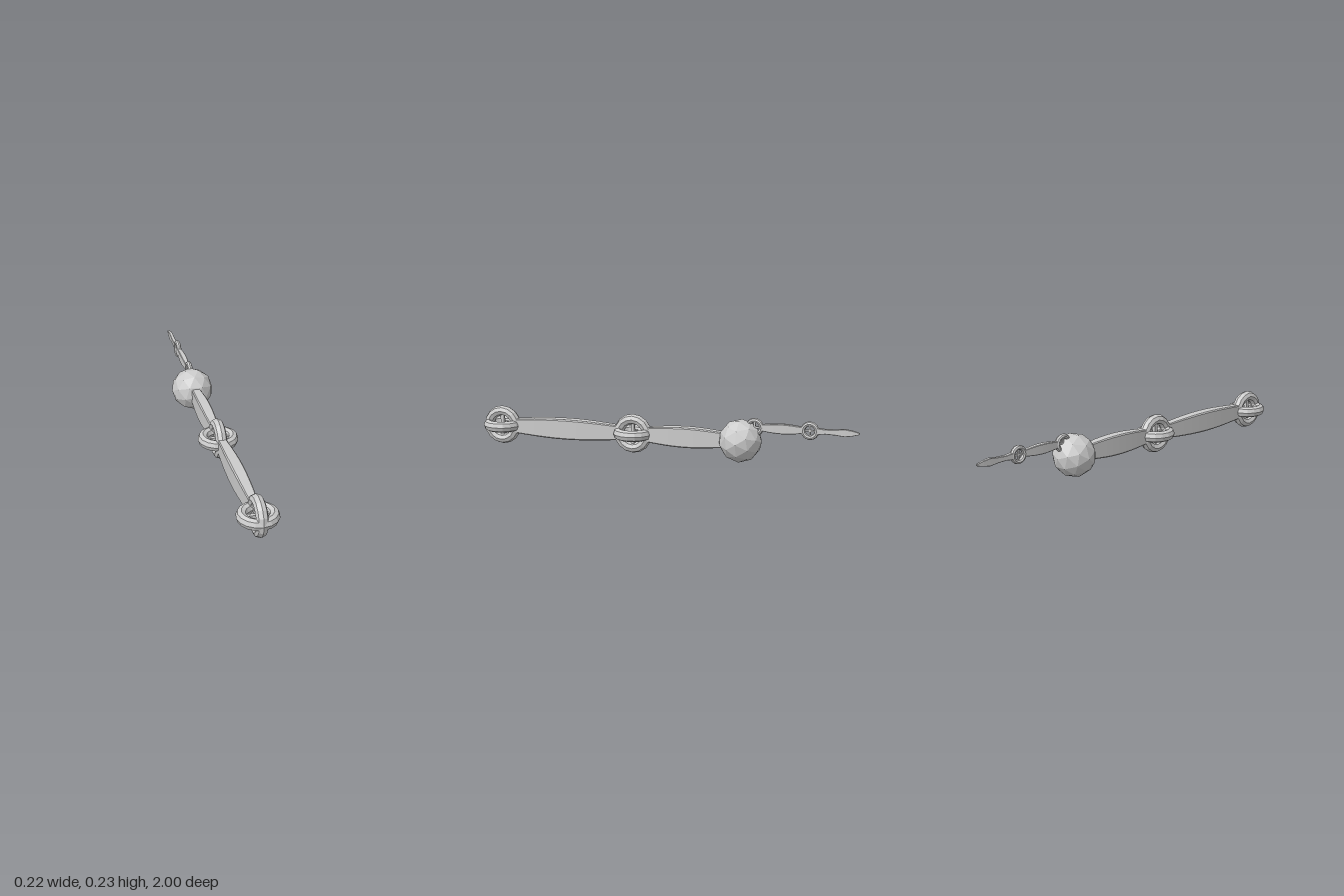
import * as THREE from 'three';

export function createModel() {
  const model = new THREE.Group();
  const metal = new THREE.MeshStandardMaterial({ color: 0xcccccc, flatShading: true });
  metal.name = 'lightGreyMetal';

  const add = (parent, geometry, name, x = 0, y = 0, z = 0) => {
    const mesh = new THREE.Mesh(geometry, metal);
    mesh.name = name;
    mesh.position.set(x, y, z);
    parent.add(mesh);
    return mesh;
  };

  // Spoked ring lying in its local xy plane; depth is half its thickness
  function ring(name, outer, thickness, depth, spoke) {
    const group = new THREE.Group();
    group.name = name;
    const tube = thickness / 2;
    const torus = new THREE.TorusGeometry(outer - tube, tube, 8, 16);
    torus.scale(1, 1, depth / tube);
    add(group, torus, 'rim');
    const length = 2 * (outer - tube);
    add(group, new THREE.BoxGeometry(length, spoke, spoke), 'spokeAcross');
    add(group, new THREE.BoxGeometry(spoke, length, spoke), 'spokeUpright');
    return group;
  }

  // Loft of chamfered rectangles along -z; stations are [z, halfWidth, halfHeight]
  function bar(stations) {
    const pos = [], index = [], n = 8, last = stations.length - 1;
    for (const [z, w, h] of stations) {
      const c = Math.min(w, h) * 0.2;
      const corners = [[w, h - c], [w - c, h], [c - w, h], [-w, h - c],
        [-w, c - h], [c - w, -h], [w - c, -h], [w, c - h]];
      for (const [x, y] of corners) pos.push(x, y, z);
    }
    for (let s = 0; s < last; s++) {
      for (let i = 0; i < n; i++) {
        const a = s * n + i, b = s * n + (i + 1) % n;
        index.push(a, a + n, b, b, a + n, b + n);
      }
    }
    for (let i = 1; i < n - 1; i++) {
      index.push(0, i, i + 1);
      index.push(last * n, last * n + i + 1, last * n + i);
    }
    const geometry = new THREE.BufferGeometry();
    geometry.setAttribute('position', new THREE.Float32BufferAttribute(pos, 3));
    geometry.setIndex(index);
    const flat = geometry.toNonIndexed();
    flat.computeVertexNormals();
    return flat;
  }

  // Bar that swells smoothly towards its middle
  function swollenBar(z0, z1, endW, endH, midW, midH) {
    const stations = [];
    for (let i = 0; i <= 10; i++) {
      const t = i / 10, k = Math.sin(Math.PI * t);
      stations.push([z0 + (z1 - z0) * t, endW + (midW - endW) * k, endH + (midH - endH) * k]);
    }
    return bar(stations);
  }

  const axisY = 0.106, chainY = 0.181;

  // Crossed ring joints of the main shaft
  for (const [name, z] of [['frontJoint', 0.898], ['middleJoint', 0.168]]) {
    const joint = new THREE.Group();
    joint.name = name;
    joint.position.set(0, axisY, z);
    const upright = ring('uprightRing', 0.102, 0.053, 0.029, 0.018);
    upright.rotation.y = Math.PI / 2;
    const level = ring('levelRing', 0.102, 0.053, 0.029, 0.018);
    level.rotation.x = Math.PI / 2;
    joint.add(upright, level);
    model.add(joint);
  }

  // Main shaft
  add(model, swollenBar(0.825, 0.24, 0.021, 0.037, 0.031, 0.053), 'frontShaft', 0, axisY);
  add(model, swollenBar(0.095, -0.33, 0.021, 0.037, 0.029, 0.052), 'rearShaft', 0, axisY);

  // Faceted ball with a pole facing along the shaft
  const ball = new THREE.IcosahedronGeometry(0.11, 1);
  ball.rotateX(Math.atan(2 / (1 + Math.sqrt(5))));
  ball.computeVertexNormals();
  add(model, ball, 'ball', 0, axisY, -0.4);

  // Small rings of the tail
  for (const [name, z] of [['ballLoop', -0.473], ['tailRing', -0.752]]) {
    const loop = ring(name, 0.047, 0.024, 0.014, 0.009);
    loop.rotation.y = Math.PI / 2;
    loop.position.set(0, chainY, z);
    model.add(loop);
  }

  // Tail link and pointed end
  add(model, swollenBar(-0.505, -0.718, 0.01, 0.016, 0.014, 0.025), 'tailLink', 0, chainY);
  add(model, bar([
    [-0.785, 0.012, 0.017], [-0.83, 0.01, 0.012], [-0.88, 0.009, 0.014],
    [-0.925, 0.009, 0.019], [-0.96, 0.008, 0.014], [-0.998, 0.005, 0.004],
  ]), 'tailPoint', 0, chainY);

  return model;
}
